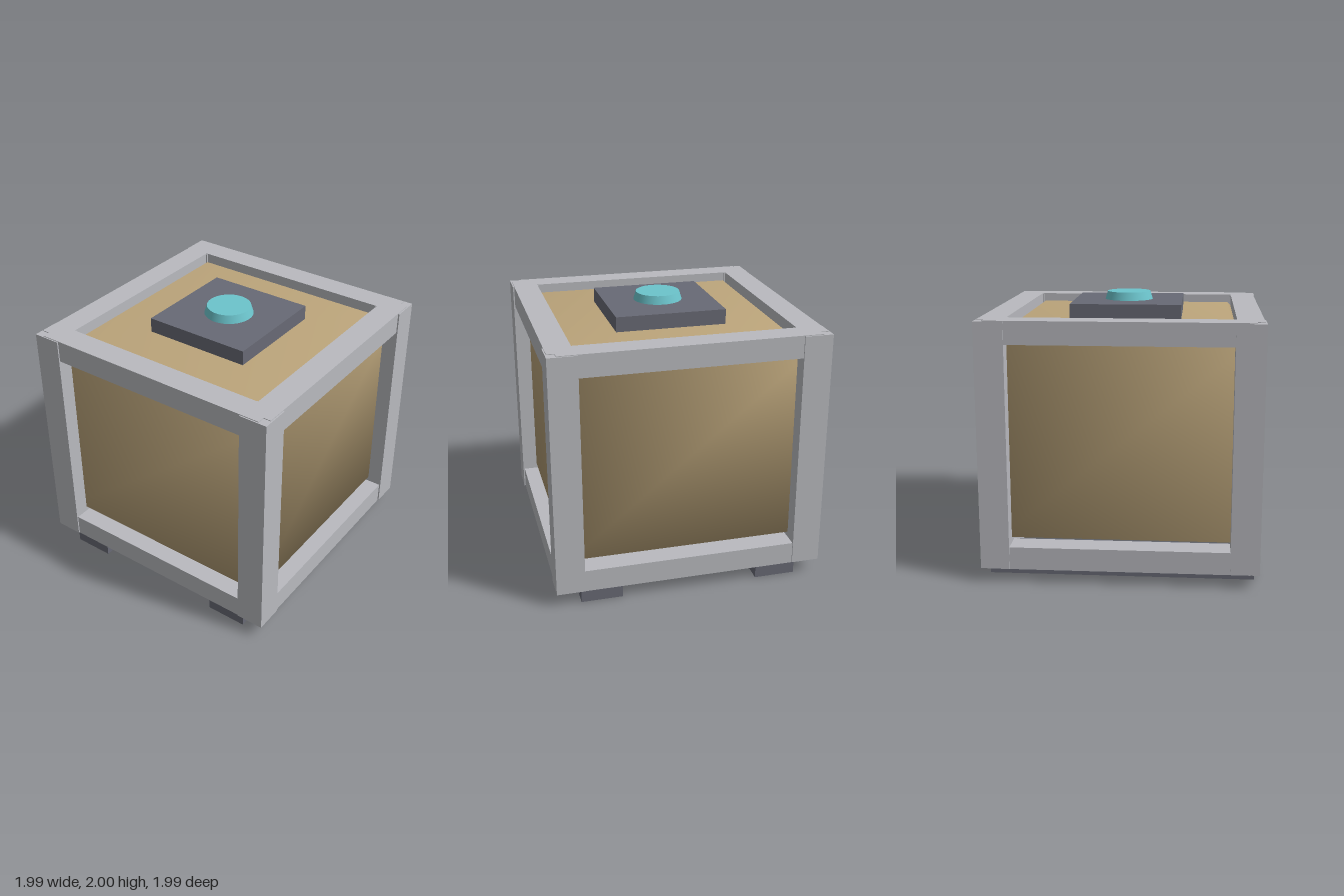
import * as THREE from 'three';
import { mergeVertices } from 'three/addons/utils/BufferGeometryUtils.js';

const mat = (name, color) => {
  const m = new THREE.MeshStandardMaterial({ color });
  m.name = name;
  return m;
};

export function createModel() {
  const model = new THREE.Group();
  model.name = 'crate';
  const frameGrey = mat('frame grey', 0xb9babf);
  const tan = mat('tan', 0xbca57b);
  const slate = mat('slate', 0x686a75);
  const teal = mat('teal', 0x6cc4cc);

  const add = (name, geometry, material, x = 0, y = 0, z = 0) => {
    const mesh = new THREE.Mesh(geometry, material);
    mesh.name = name;
    mesh.position.set(x, y, z);
    model.add(mesh);
    return mesh;
  };
  // Box given by its y range
  const block = (name, material, w, d, y0, y1, x = 0, z = 0) =>
    add(name, new THREE.BoxGeometry(w, y1 - y0, d), material, x, (y0 + y1) / 2, z);

  // Smooth-shaded body, chamfered around its top edge
  const half = 0.88, bottom = 0.305, top = 1.83, chamfer = 0.11;
  const body = new THREE.BoxGeometry(half * 2, 2, half * 2, 1, 2, 1);
  const p = body.attributes.position;
  for (let i = 0; i < p.count; i++) {
    const y = p.getY(i);
    if (y > 0.5) {
      const s = (half - chamfer) / half;
      p.setXYZ(i, p.getX(i) * s, top, p.getZ(i) * s);
    } else {
      p.setY(i, y < -0.5 ? bottom : top - chamfer);
    }
  }
  body.deleteAttribute('uv');
  body.deleteAttribute('normal');
  const smoothBody = mergeVertices(body);
  smoothBody.computeVertexNormals();
  add('body', smoothBody, tan);

  // Corner posts, slightly proud of the rails
  for (const x of [-1, 1])
    for (const z of [-1, 1])
      block('cornerPost', frameGrey, 0.208, 0.208, 0.105, 1.885, x * 0.891, z * 0.891);

  // Rails around the top and bottom
  for (const [y0, y1] of [[0.1, 0.265], [1.725, 1.89]])
    for (const s of [-1, 1]) {
      block('crossRail', frameGrey, 1.86, 0.187, y0, y1, 0, s * 0.8915);
      block('sideRail', frameGrey, 0.187, 1.86, y0, y1, s * 0.8915, 0);
    }

  // Skids under the frame
  for (const s of [-1, 1])
    block('skid', slate, 0.305, 1.93, 0, 0.16, s * 0.661, 0);

  // Lid plate and round button
  block('lidPlate', slate, 0.815, 0.815, 1.82, 1.94);
  add('button', new THREE.CylinderGeometry(0.163, 0.182, 0.062, 32), teal, 0, 1.969, 0);

  return model;
}
